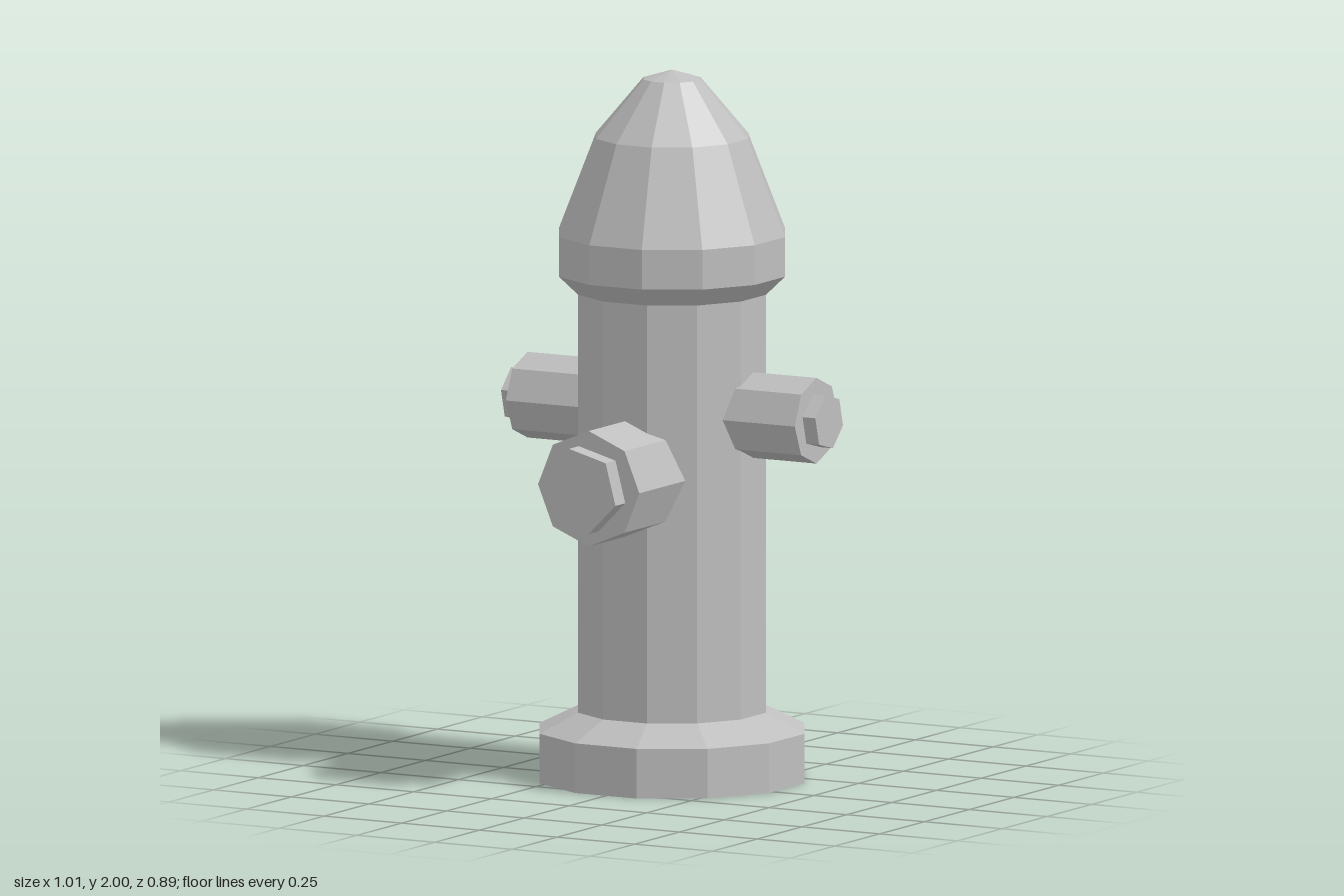
import * as THREE from 'three';

const BODY_Z = -0.075;

export function createModel() {
  const model = new THREE.Group();
  model.name = 'fireHydrant';

  const grey = new THREE.MeshStandardMaterial({ color: 0xbebebe });
  grey.name = 'cast metal grey';

  // Faceted mesh with one normal per face
  function addPart(name, geometry, parent = model) {
    const flat = geometry.toNonIndexed();
    flat.computeVertexNormals();
    const mesh = new THREE.Mesh(flat, grey);
    mesh.name = name;
    parent.add(mesh);
    return mesh;
  }

  // Twelve-sided turned part; profile is [half width across flats, height]
  function addTurned(name, profile) {
    const points = profile.map(([r, y]) => new THREE.Vector2(r / Math.cos(Math.PI / 12), y));
    addPart(name, new THREE.LatheGeometry(points, 12, Math.PI / 12)).position.z = BODY_Z;
  }

  addTurned('base', [[0, 0], [0.369, 0], [0.369, 0.14], [0.262, 0.195], [0, 0.195]]);
  addTurned('barrel', [[0, 0.195], [0.262, 0.195], [0.262, 1.375], [0, 1.375]]);
  addTurned('bonnet', [
    [0, 1.375], [0.262, 1.375], [0.315, 1.428], [0.315, 1.54],
    [0.212, 1.813], [0.08, 1.975], [0, 2],
  ]);

  // Prism lying along z, from z = start to z = end
  function prism(radius, sides, start, end, turn = 0) {
    const g = new THREE.CylinderGeometry(radius, radius, end - start, sides, 1, false, turn);
    return g.rotateX(Math.PI / 2).translate(0, 0, (start + end) / 2);
  }

  // Front outlet: octagonal cap with a turned hexagonal nut
  const front = new THREE.Group();
  front.name = 'frontOutlet';
  front.position.y = 0.88;
  addPart('frontOutletCap', prism(0.163, 8, 0.1, 0.39), front);
  addPart('frontOutletNut', prism(0.122, 6, 0.39, 0.445, Math.PI / 12), front);
  model.add(front);

  // Side outlets, same section on both sides
  for (const side of [1, -1]) {
    const label = side > 0 ? 'left' : 'right';
    const outlet = new THREE.Group();
    outlet.name = label + 'Outlet';
    outlet.position.set(0, 1.045, BODY_Z);
    const span = (a, b) => (side > 0 ? [a, b] : [-b, -a]);
    const cap = prism(0.121, 8, ...span(0.2, 0.465));
    const nut = prism(0.08, 6, ...span(0.465, 0.506), Math.PI / 12);
    addPart(label + 'OutletCap', cap.rotateY(Math.PI / 2), outlet);
    addPart(label + 'OutletNut', nut.rotateY(Math.PI / 2), outlet);
    model.add(outlet);
  }

  return model;
}
